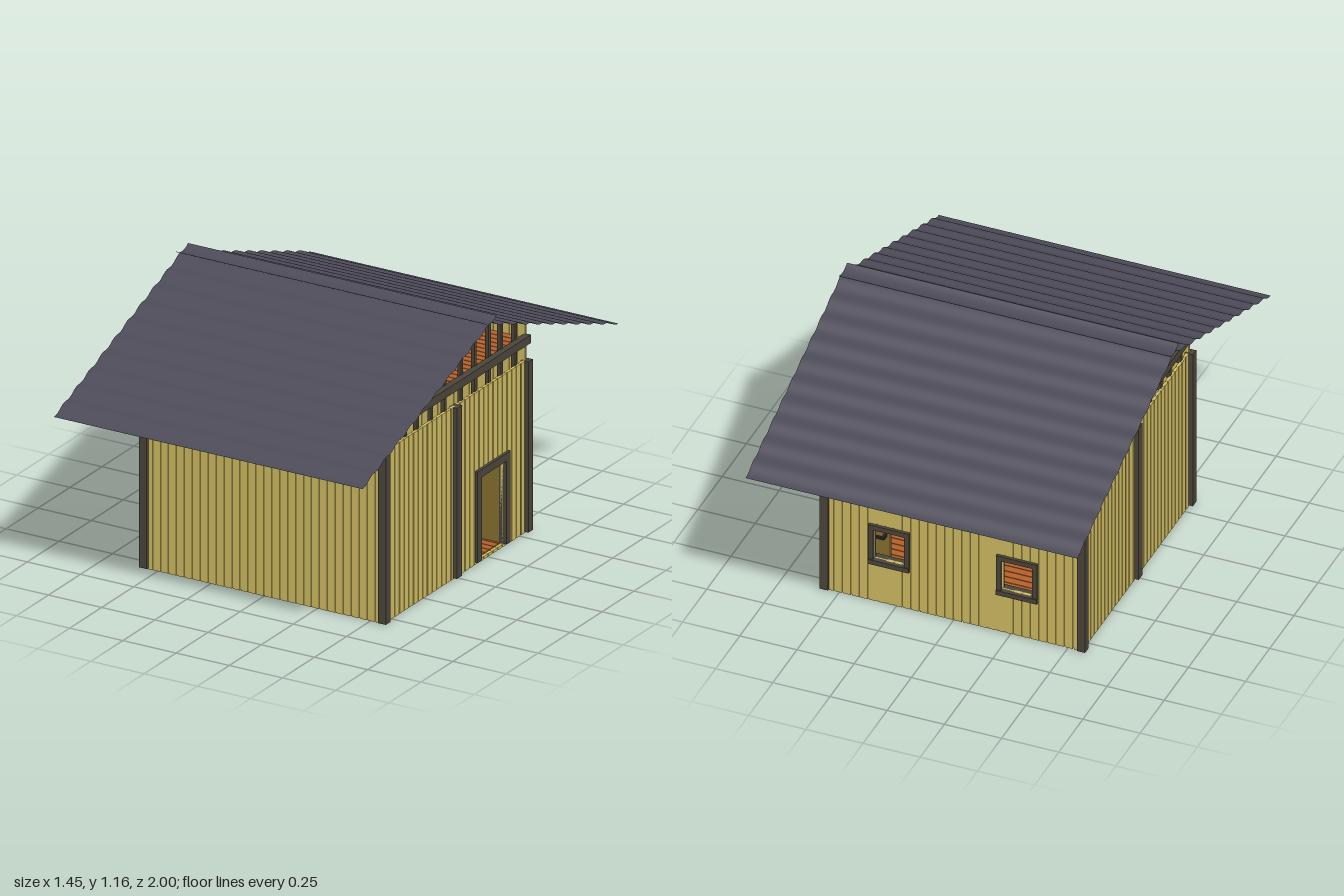
import * as THREE from 'three';
import { mergeGeometries } from 'three/addons/utils/BufferGeometryUtils.js';

const paint = (name, color, extra = {}) => Object.assign(new THREE.MeshStandardMaterial({ color, ...extra }), { name });

export function createModel() {
  const yellow = paint('yellow boards', 0xcfbb62);
  const timber = paint('dark timber', 0x4a453a);
  const slate = paint('slate sheet', 0x4c4b58, { side: THREE.DoubleSide });
  const orange = paint('orange planks', 0xb4622c);
  const olive = paint('olive door', 0x86702e);
  const black = paint('black iron', 0x25252a);

  const house = new THREE.Group();
  house.name = 'house';

  const slab = (x0, x1, y0, y1, z0, z1) =>
    new THREE.BoxGeometry(x1 - x0, y1 - y0, z1 - z0).translate((x0 + x1) / 2, (y0 + y1) / 2, (z0 + z1) / 2);
  const add = (parent, name, geometries, material) => {
    const mesh = new THREE.Mesh(mergeGeometries([geometries].flat()), material);
    mesh.name = name;
    parent.add(mesh);
    return mesh;
  };
  const roofY = (z) => 1.146 - 0.362 * z;

  // Wall of vertical boards over a thin core; openings are [left, right, bottom, top]
  function makeWall(name, angle, half, height, openings) {
    const wall = new THREE.Group();
    wall.name = name;
    wall.rotation.y = angle;

    const outline = new THREE.Shape([
      new THREE.Vector2(-half, 0.002), new THREE.Vector2(half, 0.002),
      new THREE.Vector2(half, height), new THREE.Vector2(-half, height),
    ]);
    for (const [l, r, b, t] of openings) {
      outline.holes.push(new THREE.Path([
        new THREE.Vector2(l, b), new THREE.Vector2(l, t), new THREE.Vector2(r, t), new THREE.Vector2(r, b),
      ]));
    }
    const core = new THREE.ExtrudeGeometry(outline, { depth: 0.006, bevelEnabled: false });
    add(wall, name + 'Core', core.translate(0, 0, 0.552), yellow);

    const boards = [];
    const put = (a, b, y0, y1) => {
      if (b - a > 0.001 && y1 - y0 > 0.001) boards.push(slab(a, b, y0, y1, 0.548, 0.562));
    };
    const count = 30, pitch = 2 * half / count;
    for (let i = 0; i < count; i++) {
      const a = -half + i * pitch + 0.0025, b = a + pitch - 0.005;
      const hole = openings.find(([l, r]) => a < r && b > l);
      if (!hole) { put(a, b, 0, height); continue; }
      const [l, r, bottom, top] = hole;
      const m0 = Math.max(a, l), m1 = Math.min(b, r);
      put(a, m0, 0, height);
      put(m1, b, 0, height);
      put(m0, m1, 0, bottom);
      put(m0, m1, top, height);
    }
    add(wall, name + 'Boards', boards, yellow);
    house.add(wall);
    return wall;
  }

  // Frame around an opening, standing proud of the wall on both sides
  function addFrame(wall, name, [l, r, b, t], w, withSill) {
    const z0 = 0.54, z1 = 0.575;
    const bars = [
      slab(l - w, l, b, t, z0, z1), slab(r, r + w, b, t, z0, z1),
      slab(l - w, r + w, t, t + w, z0, z1),
    ];
    if (withSill) bars.push(slab(l - w, r + w, b - w, b, 0.525, 0.58));
    add(wall, name, bars, timber);
  }

  // Walls: plain front and left, two windows at the back, doorway on the +x gable
  const windows = [-1, 1].map((s) => [s * 0.28 - 0.068, s * 0.28 + 0.068, 0.21, 0.355]);
  const door = [0.185, 0.375, 0.012, 0.375];
  makeWall('frontWall', 0, 0.56, 0.935, []);
  const back = makeWall('backWall', Math.PI, 0.56, 0.935, windows);
  windows.forEach((w) => addFrame(back, 'windowFrame', w, 0.022, true));
  const doorWall = makeWall('doorWall', Math.PI / 2, 0.548, 0.75, [door]);
  addFrame(doorWall, 'doorFrame', door, 0.034, false);
  add(doorWall, 'doorCloser', slab(0.185, 0.22, 0.32, 0.375, 0.53, 0.55), timber);
  makeWall('sideWall', -Math.PI / 2, 0.548, 0.75, []);

  // Door leaf swung inward at a right angle, with a handle on each face
  add(house, 'doorLeaf', slab(0.35, 0.54, 0.014, 0.372, -0.39, -0.375), olive);
  add(house, 'doorHandle', [
    slab(0.365, 0.377, 0.199, 0.211, -0.415, -0.348),
    slab(0.365, 0.415, 0.199, 0.211, -0.355, -0.345),
    slab(0.365, 0.415, 0.199, 0.211, -0.42, -0.41),
  ], black);

  // Posts, gable beams and gable slats
  for (const side of [-1, 1]) {
    const posts = [-0.5575, 0, 0.5575].map((z) => {
      const w = z ? 0.036 : 0.04;
      return new THREE.BoxGeometry(0.036, 0.745, w).translate(side * 0.562, 0.3775, z);
    });
    add(house, 'posts', posts, timber);
    add(house, 'gableBeam', new THREE.BoxGeometry(0.03, 0.036, 1.12).translate(side * 0.565, 0.845, 0), timber);
    const slats = [];
    for (const z of [0.065, 0.17, 0.28, 0.375, 0.485]) {
      const top = roofY(z) - 0.008;
      for (const s of [-1, 1]) slats.push(slab(-0.009, 0.009, 0.74, top, -0.008, 0.008).translate(side * 0.545, 0, s * z));
    }
    add(house, 'gableSlats', slats, timber);
  }

  // Planked ground floor and loft floor
  for (const [name, y, thick] of [['groundFloor', 0.008, 0.012], ['loftFloor', 0.845, 0.014]]) {
    const planks = [new THREE.BoxGeometry(1.09, thick * 0.5, 1.09).translate(0, y, 0)];
    const count = 30, pitch = 1.09 / count;
    for (let i = 0; i < count; i++) {
      planks.push(new THREE.BoxGeometry(1.09, thick, pitch - 0.004).translate(0, y, -0.545 + (i + 0.5) * pitch));
    }
    add(house, name, planks, orange);
  }

  // Corrugated roof sheets that cross at the ridge
  for (const side of [1, -1]) {
    const sheet = new THREE.PlaneGeometry(1.45, 1.05, 1, 126).rotateX(-Math.PI / 2).translate(0, 0, 0.475);
    const p = sheet.attributes.position;
    for (let i = 0; i < p.count; i++) {
      const z = p.getZ(i);
      p.setY(i, roofY(z) + 0.005 * Math.sin(z * Math.PI * 20));
    }
    sheet.computeVertexNormals();
    const mesh = add(house, side > 0 ? 'frontRoof' : 'backRoof', sheet, slate);
    if (side < 0) mesh.rotation.y = Math.PI;
  }

  return house;
}
